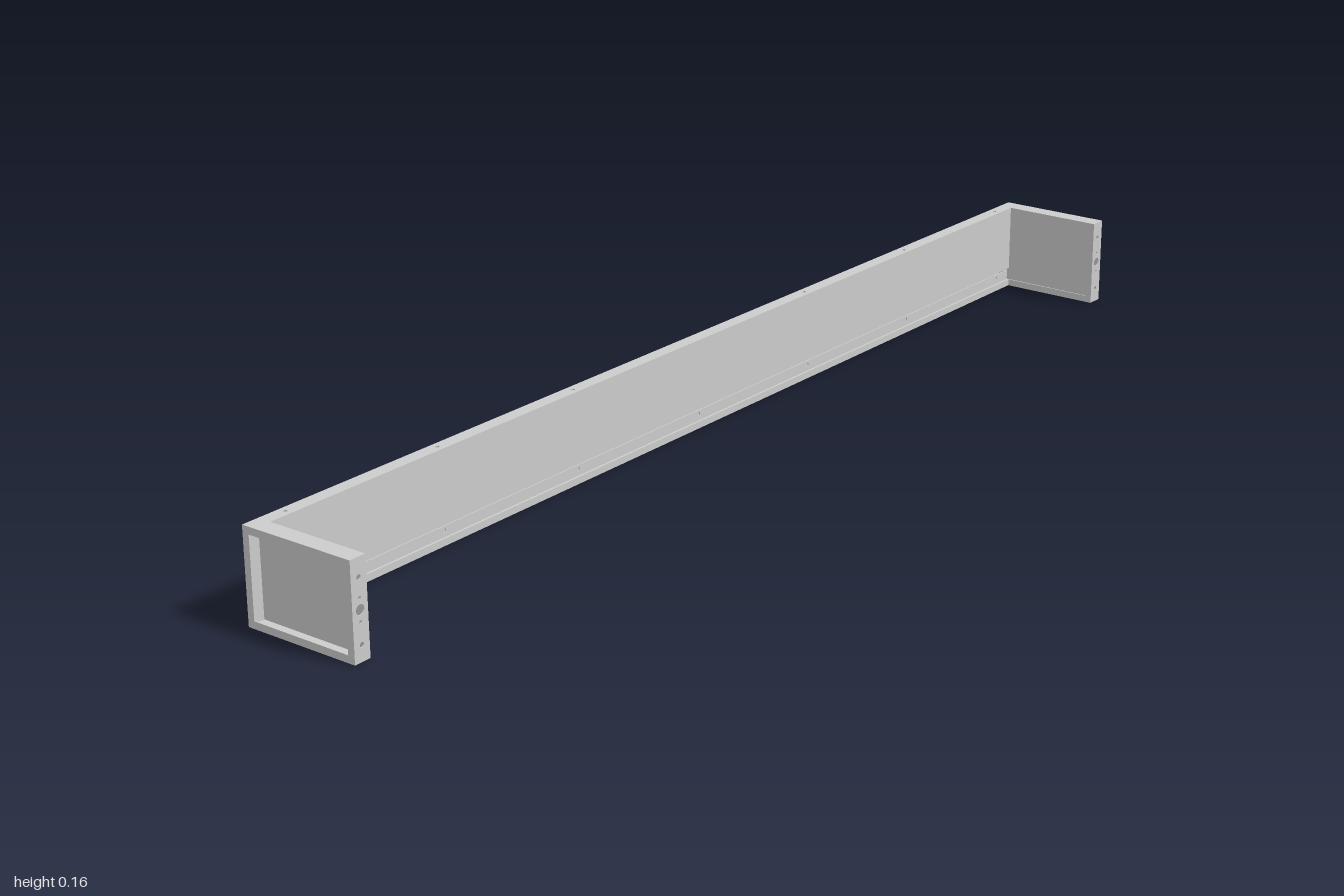
import * as THREE from 'three';

const T = 0.002;              // sheet thickness
const H = 0.155, D = 0.206;   // overall height and depth
const END = 0.03;             // width of an end tray
const SPAN = 1.94;            // length between the end trays
const BEAM = 0.024;           // depth of the beam

const material = new THREE.MeshStandardMaterial({ color: 0xcccccc, side: THREE.DoubleSide });

// Flat rectangular sheet centred on its origin, with round holes [x, y, radius]
function sheet(name, w, h, holes = []) {
  const shape = new THREE.Shape();
  shape.moveTo(-w / 2, -h / 2).lineTo(w / 2, -h / 2).lineTo(w / 2, h / 2).lineTo(-w / 2, h / 2).closePath();
  for (const [x, y, r] of holes) {
    shape.holes.push(new THREE.Path().absarc(x, y, r, 0, Math.PI * 2, true));
  }
  const geometry = new THREE.ExtrudeGeometry(shape, { depth: T, bevelEnabled: false, curveSegments: 8 });
  geometry.translate(0, 0, -T / 2);
  const mesh = new THREE.Mesh(geometry, material);
  mesh.name = name;
  return mesh;
}

function place(mesh, x, y, z, rx = 0, ry = 0) {
  mesh.position.set(x, y, z);
  mesh.rotation.set(rx, ry, 0);
  return mesh;
}

// Folded shell: tall skin at the back, bottom flange, stepped lip in front; centred on the beam axis
function beamShell(name) {
  const g = new THREE.Group();
  g.name = name;
  const z = BEAM / 2, bottom = -H / 2;
  const skin = 0.12, low = 0.012, lip = 0.03, step = 0.004;
  const pitch = [-0.93, -0.62, -0.31, 0, 0.31, 0.62, 0.93];
  const lipHoles = pitch.map(x => [x, 0.002, 0.0035]);
  const flangeHoles = pitch.filter(x => x !== 0).map(x => [x, 0, 0.0035]);
  g.add(
    place(sheet('skin', SPAN, skin), 0, bottom + skin / 2, -z + T / 2),
    place(sheet('flange', SPAN, BEAM, flangeHoles), 0, bottom + T / 2, 0, Math.PI / 2),
    place(sheet('lowerLip', SPAN, low), 0, bottom + low / 2, z - T / 2),
    place(sheet('lipLedge', SPAN, step + T), 0, bottom + low - T / 2, z - (step + T) / 2, Math.PI / 2),
    place(sheet('upperLip', SPAN, lip - low, lipHoles), 0, bottom + (lip + low) / 2, z - step - T / 2)
  );
  return g;
}

// Shallow end tray, closed towards +x and open towards -x, with a narrow return lip
function endTray(name) {
  const g = new THREE.Group();
  g.name = name;
  const lip = 0.012;
  const frontHoles = [
    [0, 0, 0.008], [0, 0.018, 0.0025], [0, -0.018, 0.0025],
    [0, 0.048, 0.004], [0, -0.052, 0.004]
  ];
  g.add(
    place(sheet('plate', D, H), END / 2 - T / 2, 0, 0, 0, Math.PI / 2),
    place(sheet('frontWall', END, H, frontHoles), 0, 0, D / 2 - T / 2),
    place(sheet('backWall', END, H), 0, 0, -D / 2 + T / 2)
  );
  for (const s of [-1, 1]) {
    g.add(
      place(sheet('horizontalWall', END, D), 0, s * (H / 2 - T / 2), 0, Math.PI / 2),
      place(sheet('uprightLip', lip, H), -END / 2 + T / 2, 0, s * (D / 2 - lip / 2), 0, Math.PI / 2),
      place(sheet('horizontalLip', D - 2 * lip, lip), -END / 2 + T / 2, s * (H / 2 - lip / 2), 0, 0, Math.PI / 2)
    );
  }
  return g;
}

export function createModel() {
  const model = new THREE.Group();
  model.name = 'wallRail';

  // Beam: two interlocking shells, one turned half round
  const beam = new THREE.Group();
  beam.name = 'beam';
  const rear = beamShell('rearShell');
  const front = beamShell('frontShell');
  front.rotation.x = Math.PI;
  beam.add(rear, front);
  beam.position.set(0, H / 2, -D / 2 + BEAM / 2);
  model.add(beam);

  // End trays, both facing the same way
  for (const [name, s] of [['leftEndTray', 1], ['rightEndTray', -1]]) {
    const tray = endTray(name);
    tray.position.set(s * (1 - END / 2), H / 2, 0);
    model.add(tray);
  }
  return model;
}
